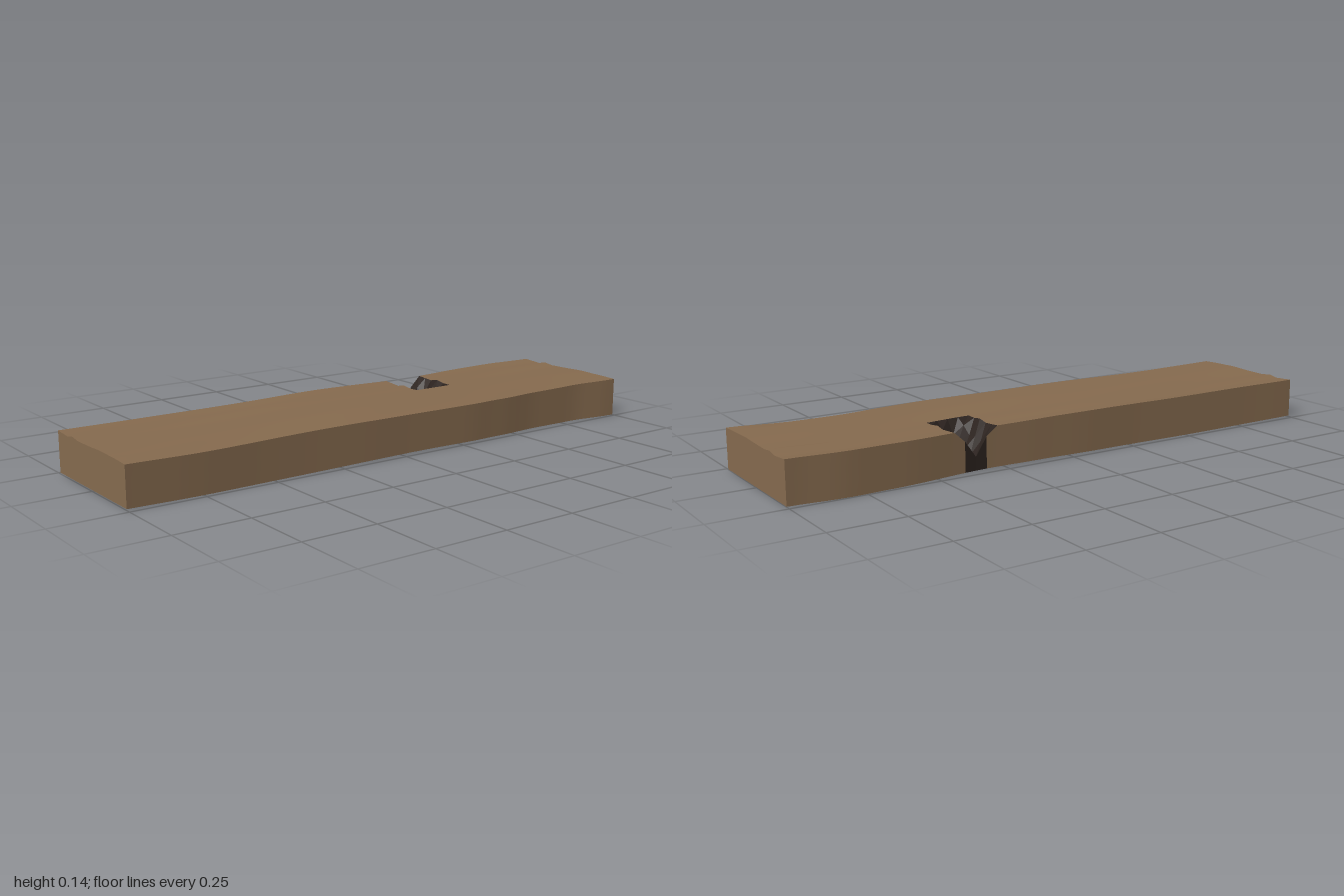
import * as THREE from 'three';

const L = 2, W = 0.46, NX = 50, NY = 3, NZ = 13;

// Linear interpolation through [position, value] points
function sample(points, t) {
  for (let i = 1; i < points.length; i++) {
    const [a, va] = points[i - 1], [b, vb] = points[i];
    if (t <= b) return va + (vb - va) * THREE.MathUtils.smoothstep(t, a, b);
  }
  return points[points.length - 1][1];
}

// Long edges, seen from above
const backEdge = [[-1, -0.234], [-0.75, -0.229], [-0.3, -0.229], [-0.05, -0.234], [0.12, -0.23], [0.33, -0.222], [0.65, -0.242], [0.8, -0.245], [1, -0.23]];
const frontEdge = [[-1, 0.232], [-0.8, 0.235], [-0.5, 0.229], [0, 0.233], [0.3, 0.239], [0.42, 0.233], [0.63, 0.217], [0.8, 0.216], [1, 0.24]];

// Grain ridges of the top across the width
const ridges = [[-0.23, 0.142], [-0.16, 0.136], [-0.125, 0.142], [-0.08, 0.136], [-0.02, 0.138], [0.07, 0.142], [0.16, 0.139], [0.23, 0.135]];

// Depth of the burnt notch, rows from the back edge inwards
const notch = [[0.03, 0.09, 0.035], [0.05, 0.09, 0.03], [0.04, 0.075, 0.05], [0.05, 0.06, 0.03], [0.02, 0.045, 0.025]];

function topHeight(x, z) {
  let y = sample(ridges, z) + 0.002 * Math.sin(5 * x + 2) + 0.001 * Math.sin(9 * x + z * 20);
  const col = Math.round((x - 0.32) / 0.04), row = Math.round((z + W / 2) / (W / NZ));
  if (notch[row] && notch[row][col]) y -= notch[row][col];
  return y;
}

const bottomHeight = (x) => 0.003 + 0.003 * Math.sin(4.5 * x + 1);

// Pulls the chosen triangles out as their own surface
function subset(geometry, indices, flat) {
  let g = geometry.clone();
  g.setIndex(indices);
  if (flat) g = g.toNonIndexed();
  g.computeVertexNormals();
  return g;
}

export function createModel() {
  const group = new THREE.Group();
  group.name = 'woodenPlank';
  const box = new THREE.BoxGeometry(L, 1, W, NX, NY, NZ);
  const pos = box.attributes.position, normal = box.attributes.normal, index = box.index;

  // Sort faces into sound wood and charred wood
  const wood = [], char = [];
  for (let i = 0; i < index.count; i += 3) {
    const tri = [index.getX(i), index.getX(i + 1), index.getX(i + 2)];
    const x = tri.reduce((s, v) => s + pos.getX(v) / 3, 0);
    const z = tri.reduce((s, v) => s + pos.getZ(v) / 3, 0);
    const inTop = normal.getY(tri[0]) > 0.5 && x > 0.28 && x < 0.44 && z < -0.053;
    const inBack = normal.getZ(tri[0]) < -0.5 && x > 0.32 && x < 0.4;
    (inTop || inBack ? char : wood).push(...tri);
  }

  // Bend the box into a worn plank
  for (let i = 0; i < pos.count; i++) {
    const x = pos.getX(i), z = pos.getZ(i);
    const low = bottomHeight(x);
    const y = low + (pos.getY(i) + 0.5) * (topHeight(x, z) - low);
    const newZ = THREE.MathUtils.lerp(sample(backEdge, x), sample(frontEdge, x), z / W + 0.5);
    pos.setXYZ(i, x, y, newZ);
  }

  const plank = new THREE.Mesh(subset(box, wood, false), new THREE.MeshStandardMaterial({ color: 0x856a4e }));
  plank.name = 'plank';

  const burnt = new THREE.Mesh(subset(box, char, true), new THREE.MeshStandardMaterial({ color: 0x2b221e }));
  burnt.name = 'burntNotch';

  group.add(plank, burnt);
  return group;
}
